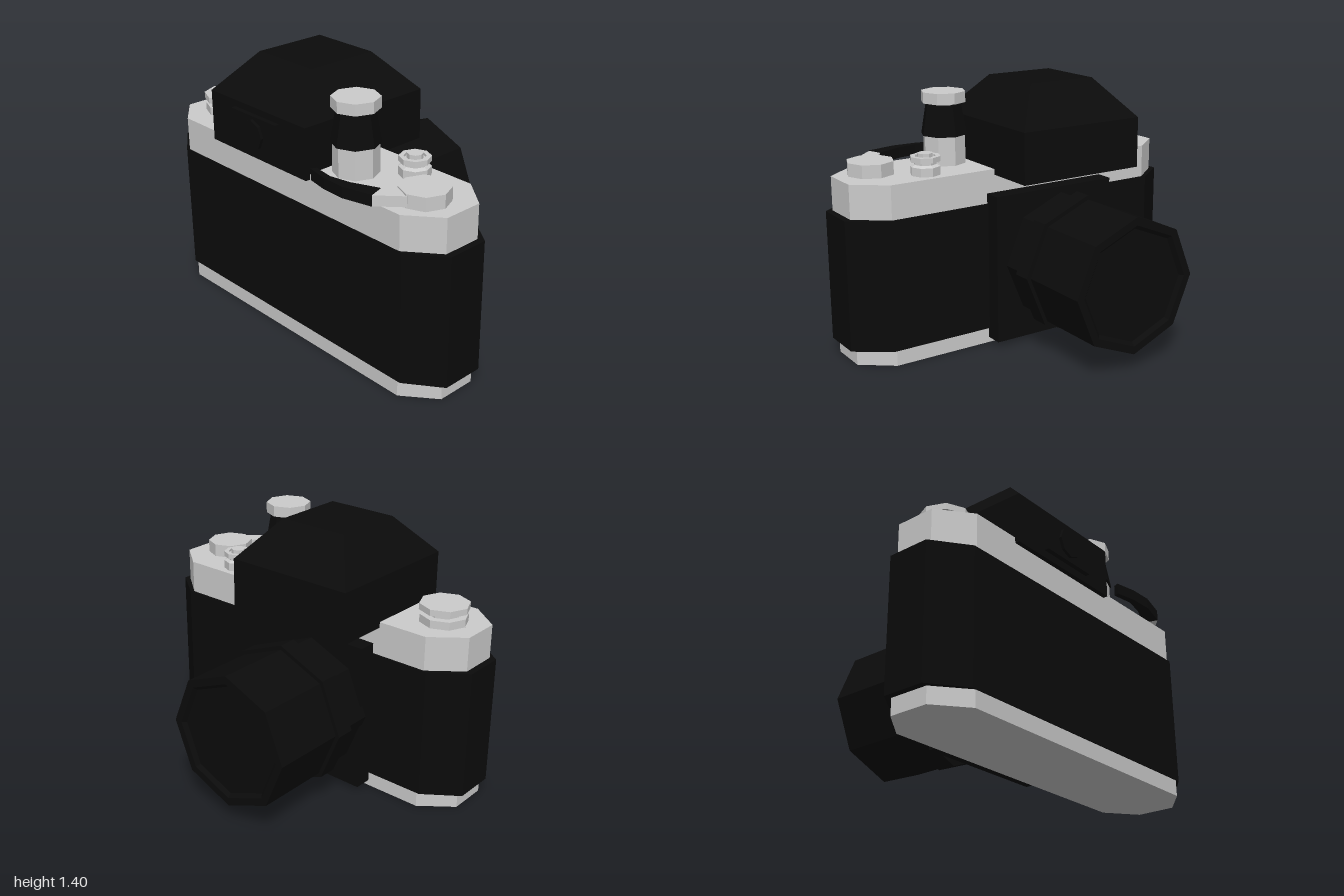
import * as THREE from 'three';

const metal = new THREE.MeshStandardMaterial({ color: 0xcccccc, flatShading: true });
const black = new THREE.MeshStandardMaterial({ color: 0x0b0b0b, flatShading: true });

export function createModel() {
  const model = new THREE.Group();

  function add(name, geometry, material, parent = model) {
    const mesh = new THREE.Mesh(geometry, material);
    mesh.name = name;
    parent.add(mesh);
    return mesh;
  }

  // Flat outline of [x, z] points raised from y0 to y1
  function slab(name, points, y0, y1, material, parent) {
    const shape = new THREE.Shape(points.map(([x, z]) => new THREE.Vector2(x, -z)));
    const geometry = new THREE.ExtrudeGeometry(shape, { depth: y1 - y0, bevelEnabled: false });
    geometry.rotateX(-Math.PI / 2).translate(0, y0, 0);
    return add(name, geometry, material, parent);
  }

  // Box given by its two opposite corners
  function block(name, [x0, y0, z0], [x1, y1, z1], material) {
    const geometry = new THREE.BoxGeometry(x1 - x0, y1 - y0, z1 - z0);
    geometry.translate((x0 + x1) / 2, (y0 + y1) / 2, (z0 + z1) / 2);
    return add(name, geometry, material);
  }

  // Eight-sided turned part; profile is [radius, height] from bottom to top
  function turned(name, profile, material, parent) {
    const points = profile.map(([r, h]) => new THREE.Vector2(r, h));
    return add(name, new THREE.LatheGeometry(points, 8), material, parent);
  }

  function groupAt(name, x, y, z) {
    const group = new THREE.Group();
    group.name = name;
    group.position.set(x, y, z);
    model.add(group);
    return group;
  }

  // Body: long octagonal outline in three layers
  const outline = (w, cw, z0, z1, c0, c1) => [
    [cw, z1], [w, c1], [w, c0], [cw, z0], [-cw, z0], [-w, c0], [-w, c1], [-cw, z1],
  ];
  const plate = outline(0.965, 0.8, 0.095, 0.565, 0.225, 0.435);
  slab('basePlate', plate, 0, 0.085, metal);
  slab('bodyShell', outline(1, 0.82, 0.085, 0.57, 0.215, 0.44), 0.085, 0.78, black);
  slab('topPlate', plate, 0.78, 0.96, metal);

  // Viewfinder housing: box whose upper half tapers to a smaller roof
  const housing = new THREE.BoxGeometry(0.725, 0.47, 0.78, 1, 2, 1);
  const p = housing.attributes.position;
  for (let i = 0; i < p.count; i++) {
    const y = p.getY(i);
    const roof = y > 0.1;
    const level = roof ? 1.403 : y < -0.1 ? 0.93 : 1.2;
    p.setXYZ(i, Math.sign(p.getX(i)) * (roof ? 0.195 : 0.3625) - 0.163, level,
      Math.sign(p.getZ(i)) * (roof ? 0.2 : 0.39) + 0.2);
  }
  housing.computeVertexNormals();
  add('viewfinderHousing', housing, black);

  // Eyepiece
  block('eyepieceFrame', [-0.33, 0.97, 0.57], [0.01, 1.165, 0.615], black);
  const eye = new THREE.CylinderGeometry(0.08, 0.08, 0.04, 8);
  eye.rotateX(Math.PI / 2).translate(-0.163, 1.07, 0.61);
  add('eyepieceLens', eye, black);

  // Lens with its mount
  block('lensMount', [-0.49, 0.03, 0], [0.245, 0.835, 0.12], black);
  const lens = groupAt('lens', -0.163, 0.453, 0);
  lens.rotation.x = -Math.PI / 2;
  turned('lensBarrel', [
    [0.35, -0.02], [0.35, 0.14], [0.385, 0.14], [0.385, 0.24], [0.3625, 0.24],
    [0.3625, 0.64], [0.32, 0.64], [0.3, 0.62], [0, 0.62],
  ], black, lens);

  // Rewind knob
  const rewind = groupAt('rewindKnob', -0.755, 0.95, 0.32);
  turned('rewindKnobTurning', [
    [0.125, 0], [0.125, 0.052], [0.085, 0.052], [0.085, 0.077], [0.13, 0.077], [0.13, 0.11], [0, 0.11],
  ], metal, rewind);

  // Tall dial: metal column, black tapered sleeve, metal cap
  const dial = groupAt('tallDial', 0.33, 0.95, 0.385);
  turned('dialColumn', [[0.115, 0], [0.115, 0.17], [0, 0.17]], metal, dial);
  turned('dialSleeve', [[0, 0.165], [0.125, 0.165], [0.097, 0.327], [0, 0.327]], black, dial);
  turned('dialCap', [
    [0.075, 0.32], [0.075, 0.337], [0.12, 0.337], [0.12, 0.395], [0, 0.395],
  ], metal, dial);

  // Shutter button
  const shutter = groupAt('shutterButton', 0.545, 0.95, 0.205);
  turned('shutterButtonTurning', [
    [0.08, 0], [0.08, 0.055], [0.06, 0.065], [0.06, 0.08], [0.08, 0.08], [0.08, 0.107],
    [0.055, 0.107], [0.055, 0.095], [0.04, 0.095], [0.04, 0.122], [0, 0.122],
  ], metal, shutter);

  // Film advance lever
  const pivot = groupAt('leverPivot', 0.772, 0.95, 0.375);
  turned('leverPivotDisc', [[0.125, 0], [0.125, 0.08], [0, 0.08]], metal, pivot);
  slab('leverArm', [[0.64, 0.525], [0.665, 0.605], [0.78, 0.5], [0.76, 0.43], [0.69, 0.46]], 0.968, 1.022, metal);
  slab('leverTip', [
    [0.265, 0.615], [0.38, 0.638], [0.51, 0.642], [0.665, 0.605],
    [0.64, 0.525], [0.5, 0.583], [0.39, 0.604], [0.275, 0.587],
  ], 0.966, 1.024, black);

  return model;
}
